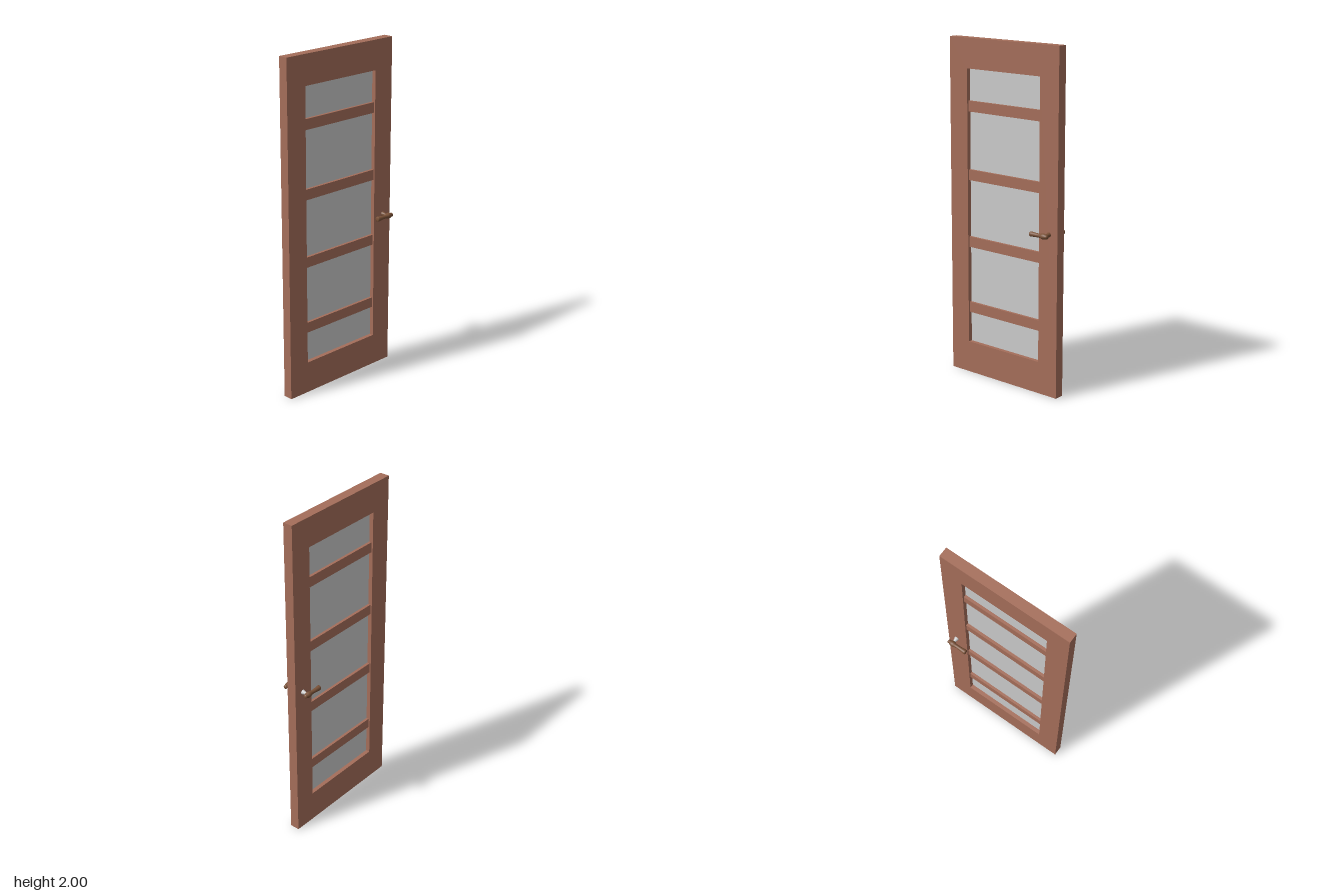
import * as THREE from 'three';

const wood = new THREE.MeshStandardMaterial({ color: 0xa56e5a });
const bronze = new THREE.MeshStandardMaterial({ color: 0x7a5238 });
const grey = new THREE.MeshStandardMaterial({ color: 0xcccccc });

const DOOR_Z = -0.003;
const HALF_DEPTH = 0.029;
const HANDLE = { x: 0.338, y: 0.954, z: 0.074 };

function add(parent, name, geometry, material, x = 0, y = 0, z = 0) {
  const mesh = new THREE.Mesh(geometry, material);
  mesh.name = name;
  mesh.position.set(x, y, z);
  parent.add(mesh);
  return mesh;
}

function rectangle(path, x0, y0, x1, y1) {
  path.moveTo(x0, y0);
  path.lineTo(x1, y0);
  path.lineTo(x1, y1);
  path.lineTo(x0, y1);
  path.closePath();
  return path;
}

// Turned profile as [radius, distance] pairs
function turned(points) {
  return new THREE.LatheGeometry(points.map(([r, d]) => new THREE.Vector2(r, d)), 20);
}

function createHandle(side) {
  const handle = new THREE.Group();
  handle.name = side > 0 ? 'frontHandle' : 'backHandle';

  // Lever: flared grip, narrow waist, round hub and small end knob
  const lever = turned([
    [0, -0.095], [0.01, -0.095], [0.0145, -0.092], [0.0145, -0.085], [0.013, -0.07],
    [0.0115, -0.045], [0.0105, -0.029], [0.0125, -0.026], [0.0115, -0.021],
    [0.015, -0.012], [0.0172, 0], [0.0155, 0.01], [0.0105, 0.02],
    [0.0115, 0.024], [0.0115, 0.027], [0.006, 0.031], [0, 0.031],
  ]);
  lever.rotateZ(-Math.PI / 2);
  add(handle, 'lever', lever, bronze, HANDLE.x, HANDLE.y, side * HANDLE.z);

  // Spindle tapering away from the door face
  const base = DOOR_Z + side * HALF_DEPTH;
  const spindle = turned([
    [0, -0.002], [0.014, -0.002], [0.0135, 0.004], [0.0095, 0.018],
    [0.0065, 0.027], [0.0065, Math.abs(side * HANDLE.z - base) - 0.008],
  ]);
  spindle.rotateX(side * Math.PI / 2);
  add(handle, 'spindle', spindle, side > 0 ? bronze : grey, HANDLE.x, HANDLE.y, base);
  return handle;
}

export function createModel() {
  const door = new THREE.Group();
  door.name = 'door';

  // Frame with one tall opening
  const outline = rectangle(new THREE.Shape(), -0.398, 0, 0.398, 2);
  outline.holes.push(rectangle(new THREE.Path(), -0.267, 0.19, 0.267, 1.826));
  const frame = new THREE.ExtrudeGeometry(outline, { depth: 2 * HALF_DEPTH, bevelEnabled: false });
  add(door, 'frame', frame, wood, 0, 0, DOOR_Z - HALF_DEPTH);

  // Glass pane, set at mid depth
  add(door, 'glass', new THREE.BoxGeometry(0.536, 1.638, 0.008), grey, 0, 1.008, DOOR_Z);

  // Cross bars, slightly recessed
  for (let i = 0; i < 4; i++) {
    add(door, `crossBar${i + 1}`, new THREE.BoxGeometry(0.536, 0.062, 0.04), wood,
      0, 0.405 + i * 0.4015, DOOR_Z);
  }

  // A handle on each face
  for (const side of [1, -1]) door.add(createHandle(side));
  return door;
}
